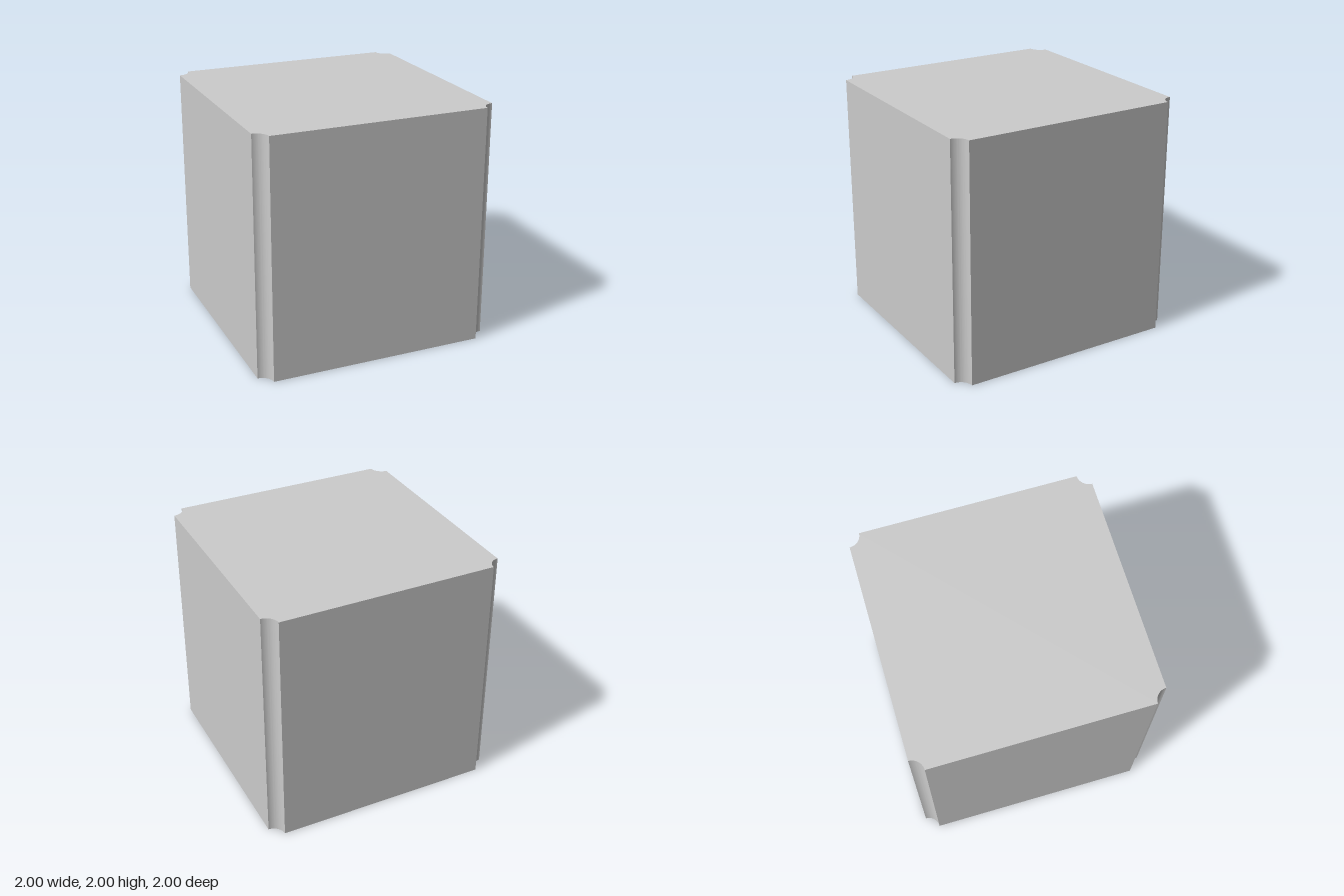
import * as THREE from 'three';
import { toCreasedNormals } from 'three/addons/utils/BufferGeometryUtils.js';

const HALF = 1; // half the side of the block
const HEIGHT = 2;
const COVE = 0.1; // radius of the hollow along each upright edge

// Square outline with a concave quarter circle scooped out of each corner
function coveredSquare() {
  const shape = new THREE.Shape();
  const corners = [[1, -1], [1, 1], [-1, 1], [-1, -1]];
  shape.moveTo(-HALF + COVE, -HALF);
  corners.forEach(([sx, sy], i) => {
    const start = Math.PI - i * 1.5 * Math.PI; // each corner is a quarter turn on
    shape.absarc(sx * HALF, sy * HALF, COVE, start, start - Math.PI / 2, true);
  });
  shape.closePath();
  return shape;
}

export function createModel() {
  const group = new THREE.Group();
  group.name = 'covedBlock';

  // Solid block, extruded upwards; coves smooth, all other edges sharp
  const geometry = new THREE.ExtrudeGeometry(coveredSquare(), {
    depth: HEIGHT,
    bevelEnabled: false,
    curveSegments: 16,
  });
  geometry.rotateX(-Math.PI / 2);

  const block = new THREE.Mesh(
    toCreasedNormals(geometry, Math.PI / 6),
    new THREE.MeshStandardMaterial({ color: 0xcccccc })
  );
  block.name = 'block';
  group.add(block);
  return group;
}
